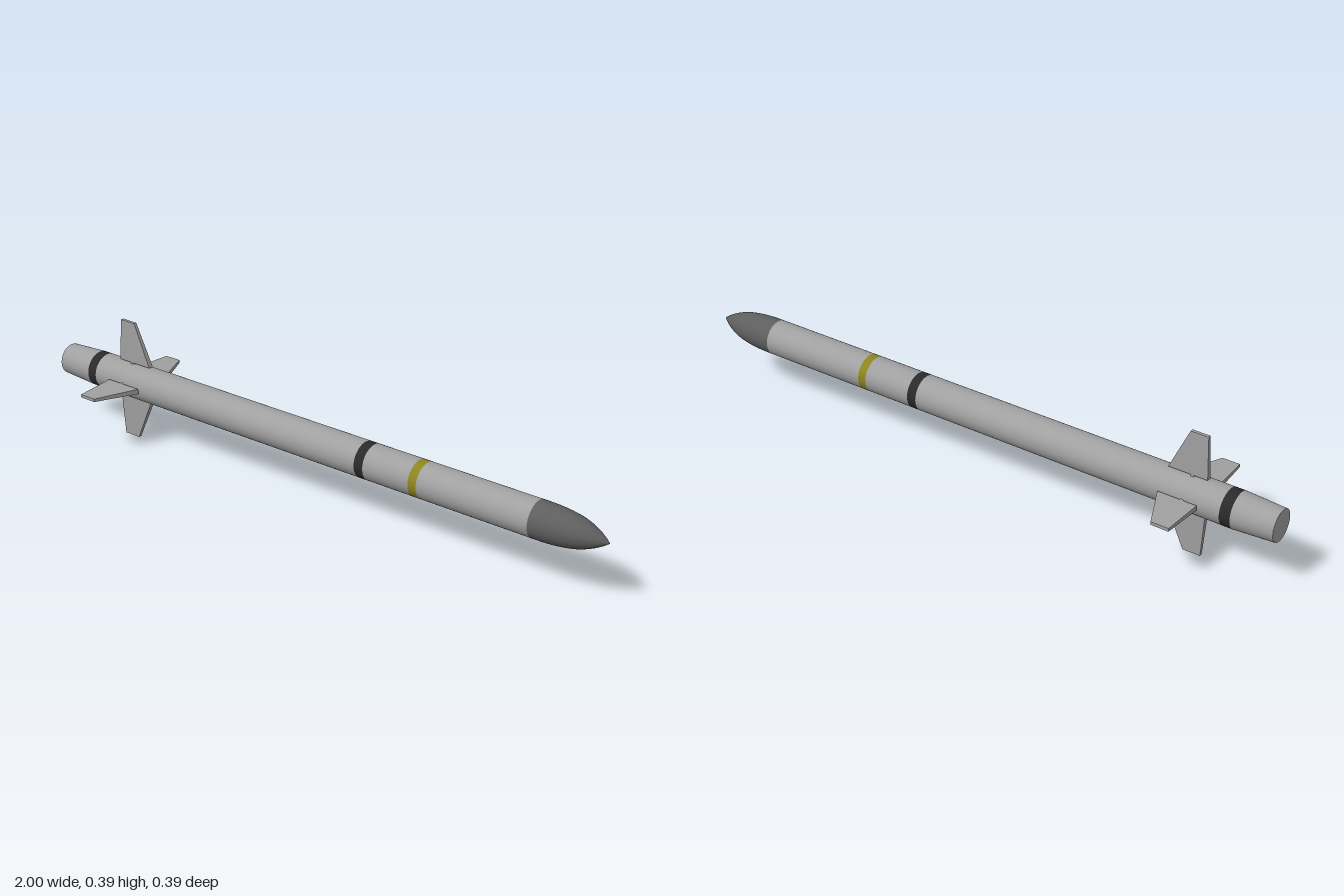
import * as THREE from 'three';

const AXIS_Y = 0.195, R = 0.056, SIDES = 48;

const mat = (name, color, side = THREE.FrontSide) => {
  const m = new THREE.MeshStandardMaterial({ color, side });
  m.name = name;
  return m;
};

export function createModel() {
  const bodyGrey = mat('bodyGrey', 0xa0a0a0);
  const noseGrey = mat('noseGrey', 0x5e5e5e);
  const bandBlack = mat('bandBlack', 0x2a2a2a);
  const bandYellow = mat('bandYellow', 0x8e8420);

  const group = new THREE.Group();
  group.name = 'missile';
  const add = (name, geometry, material) => {
    const mesh = new THREE.Mesh(geometry, material);
    mesh.name = name;
    group.add(mesh);
    return mesh;
  };

  // Surface of revolution along x, from [x, radius] pairs in rising x
  const turned = (name, profile, material) => {
    const points = profile.map(([x, r]) => new THREE.Vector2(r, x));
    const mesh = add(name, new THREE.LatheGeometry(points, SIDES), material);
    mesh.rotation.z = -Math.PI / 2;
    return mesh;
  };

  // Tube sections and painted bands, end to end
  const sections = [
    ['rearBand', -0.873, -0.84, bandBlack],
    ['rearBody', -0.84, 0.19, bodyGrey],
    ['middleBand', 0.19, 0.221, bandBlack],
    ['middleBody', 0.221, 0.38, bodyGrey],
    ['yellowBand', 0.38, 0.408, bandYellow],
    ['frontBody', 0.408, 0.775, bodyGrey],
  ];
  for (const [name, a, b, m] of sections) turned(name, [[a, R], [b, R]], m);

  // Tapered tail with its flat end
  turned('tailCone', [[-1, 0.049], [-0.873, R]], bodyGrey);
  const cap = add('tailEnd', new THREE.CircleGeometry(0.049, SIDES), bodyGrey);
  cap.rotation.y = -Math.PI / 2;
  cap.position.x = -1;

  // Rounded nose
  const nose = new THREE.SplineCurve([
    [R, 0.775], [0.0555, 0.82], [0.052, 0.865], [0.044, 0.91], [0.03, 0.95], [0.014, 0.98], [0, 1],
  ].map(([r, x]) => new THREE.Vector2(r, x))).getPoints(24);
  nose[nose.length - 1].x = 0;
  turned('nose', nose.map((p) => [p.y, Math.max(p.x, 0)]), noseGrey);

  // Fin: a box tapered in chord and thickness from root to tip
  const ROOT = 0.061, TIP = 0.195;
  const finGeometry = new THREE.BoxGeometry(1, 1, 1);
  const p = finGeometry.attributes.position;
  for (let i = 0; i < p.count; i++) {
    const tip = p.getY(i) > 0, front = p.getX(i) > 0;
    const x = tip ? (front ? -0.71 : -0.766) : (front ? -0.65 : -0.774);
    const halfThickness = tip ? 0.005 : 0.008;
    p.setXYZ(i, x, tip ? TIP : ROOT, Math.sign(p.getZ(i)) * halfThickness);
  }
  finGeometry.computeVertexNormals();

  // Four fins, each on a short pivot
  const pivotGeometry = new THREE.CylinderGeometry(0.008, 0.008, 0.014, 16).translate(-0.725, 0.057, 0);
  for (let i = 0; i < 4; i++) {
    add('fin', finGeometry, bodyGrey).rotation.x = i * Math.PI / 2;
    add('finPivot', pivotGeometry, bodyGrey).rotation.x = i * Math.PI / 2;
  }

  for (const mesh of group.children) mesh.position.y += AXIS_Y;
  return group;
}
